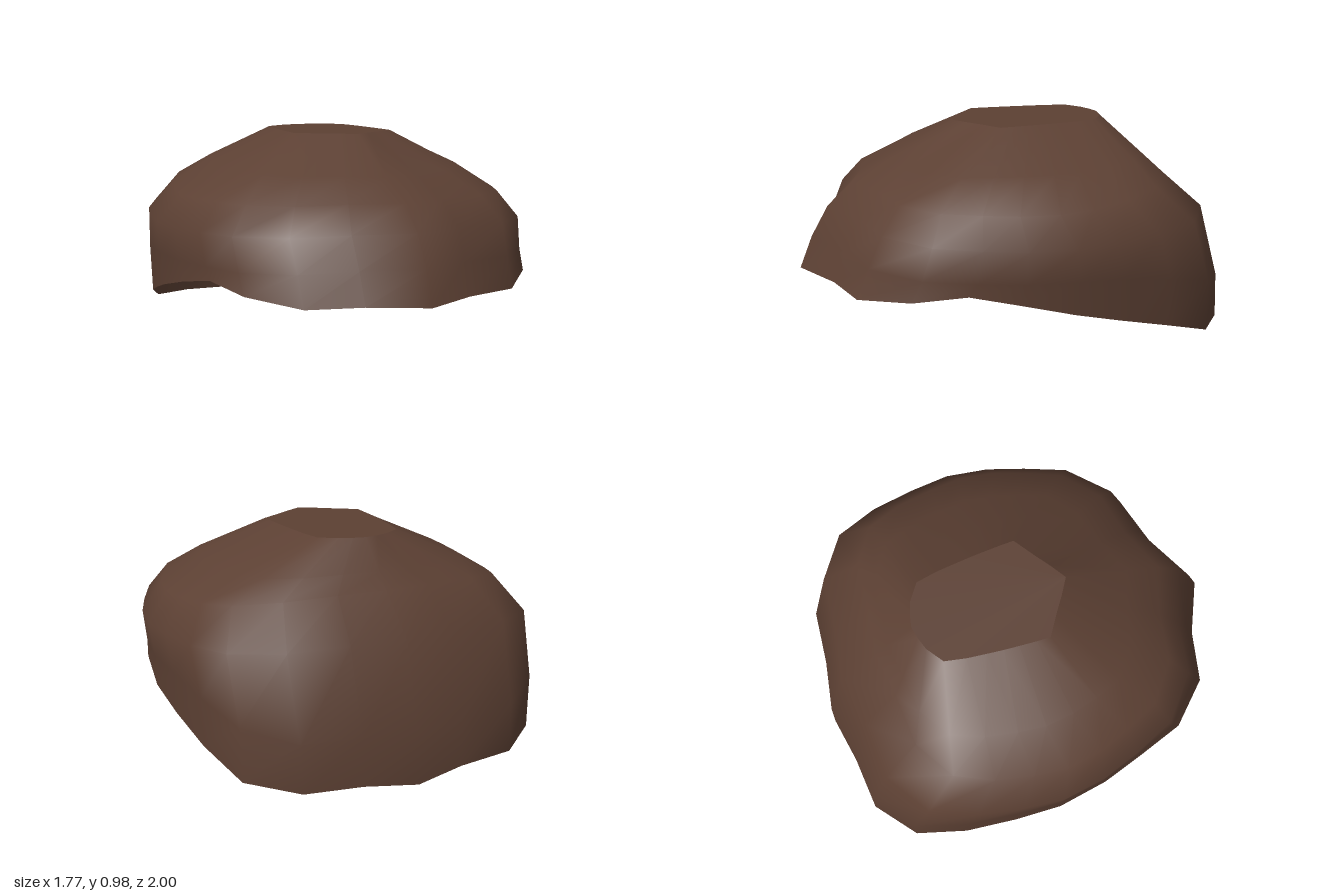
import * as THREE from 'three';

// Half outline of the rim from front centre to back centre: x, y, z
const rim = [
  [0, 0.31, 1], [0.25, 0.31, 0.88], [0.5, 0.31, 0.82], [0.69, 0.34, 0.62], [0.77, 0.37, 0.39],
  [0.83, 0.33, 0.18], [0.86, 0.27, -0.06], [0.84, 0.21, -0.28], [0.8, 0.14, -0.53],
  [0.715, 0.055, -0.77], [0.51, 0.03, -0.93], [0.24, 0.02, -0.955], [0, 0, -1],
];

// Half outline of the flat crown: x, z
const crown = [
  [0, 0.25], [0.08, 0.2], [0.165, 0.14], [0.25, 0.085], [0.248, 0.02], [0.243, -0.06], [0.238, -0.13],
  [0.23, -0.21], [0.22, -0.3], [0.2, -0.4], [0.12, -0.455], [0.06, -0.475], [0, -0.487],
];
const crownY = 0.975;

// Rings between: x scale, front z, back z, then heights at front, side and back
const bands = [
  { sx: 1.01, zf: 0.94, zb: -0.985, y: [0.46, 0.42, 0.22] },
  { sx: 1.03, zf: 0.86, zb: -0.87, y: [0.6, 0.57, 0.61] },
  { sx: 0.91, zf: 0.74, zb: -0.68, y: [0.71, 0.7, 0.78] },
];

// Complete a half outline with its mirror image
const mirror = (half) => [...half, ...half.slice(1, -1).reverse().map(([x, y, z]) => [-x, y, z])];

function bandRing({ sx, zf, zb, y }) {
  return rim.map(([x, , z]) => {
    const t = z * z;
    const end = z > 0 ? y[0] : y[2];
    return [x * sx, y[1] + (end - y[1]) * t, zb + (zf - zb) * (z + 1) / 2];
  });
}

function build(rings, closeTop) {
  const n = rings[0].length;
  const index = [];
  for (let r = 0; r < rings.length - 1; r++) {
    for (let i = 0; i < n; i++) {
      const a = r * n + i, b = r * n + (i + 1) % n;
      index.push(a, b, b + n, a, b + n, a + n);
    }
  }
  if (closeTop) for (let i = 1; i < n - 1; i++) index.push(0, i, i + 1);
  const g = new THREE.BufferGeometry();
  g.setAttribute('position', new THREE.Float32BufferAttribute(rings.flat(2), 3));
  g.setIndex(index);
  g.computeVertexNormals();
  return g;
}

export function createModel() {
  const group = new THREE.Group();
  group.name = 'cap';
  const brown = new THREE.MeshStandardMaterial({ color: 0x5c4033, side: THREE.DoubleSide });
  brown.name = 'dark brown';

  const top = crown.map(([x, z]) => [x, crownY, z]);
  const [low, middle, high] = bands.map(bandRing);
  // Shoulder ring, slightly bulged at the sides
  const shoulder = high.map((p, i) => {
    const q = p.map((v, k) => v + (top[i][k] - v) * 0.35);
    q[1] += 0.025 * (1 - rim[i][2] ** 2);
    return q;
  });

  // Open smooth shell from rim to crown
  const shell = new THREE.Mesh(build([rim, low, middle, high, shoulder, top].map(mirror), false), brown);
  shell.name = 'shell';
  group.add(shell);

  // Flat top with a hard edge
  const flat = new THREE.Mesh(build([mirror(top)], true), brown);
  flat.name = 'flatCrown';
  group.add(flat);
  return group;
}
